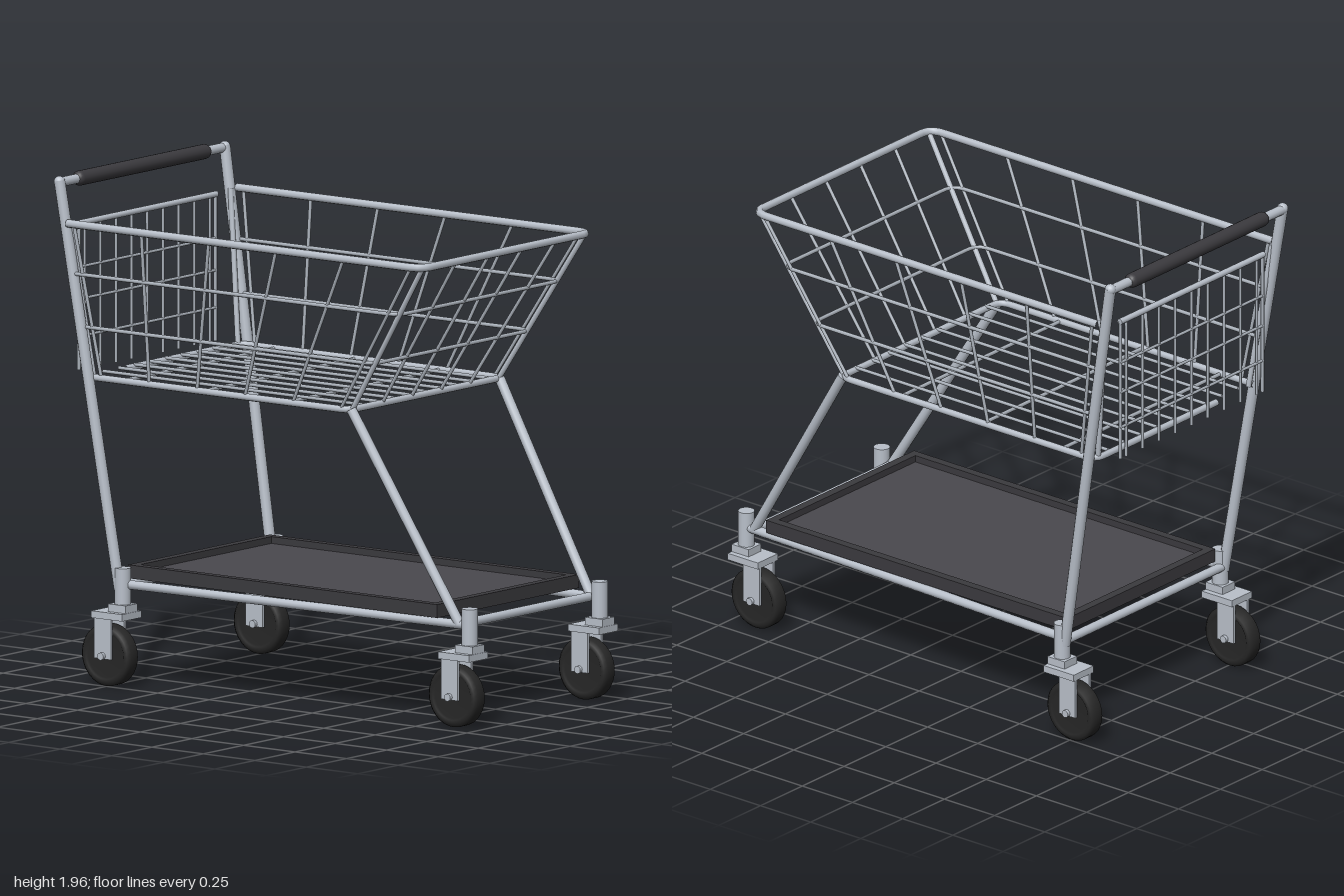
import * as THREE from 'three';

const mat = (name, color) => {
  const m = new THREE.MeshStandardMaterial({ color });
  m.name = name;
  return m;
};
const V = (x, y, z) => new THREE.Vector3(x, y, z);

export function createModel() {
  const steel = mat('steel tube', 0xb9c0ca);
  const wireSteel = mat('wire steel', 0xabb2bb);
  const rubber = mat('wheel rubber', 0x262626);
  const plastic = mat('dark plastic', 0x3b3a3e);
  const panel = mat('tray panel', 0x4a494e);

  const cart = new THREE.Group();
  cart.name = 'shoppingCart';
  const group = (name, parent = cart) => {
    const g = new THREE.Group();
    g.name = name;
    parent.add(g);
    return g;
  };
  const add = (parent, name, geometry, material, x = 0, y = 0, z = 0) => {
    const m = new THREE.Mesh(geometry, material);
    m.name = name;
    m.position.set(x, y, z);
    parent.add(m);
    return m;
  };
  const box = (parent, name, w, h, d, material, x, y, z) =>
    add(parent, name, new THREE.BoxGeometry(w, h, d), material, x, y, z);
  // Straight round bar between two points
  const rod = (parent, name, a, b, r, material = steel, sides = 12) => {
    const dir = b.clone().sub(a);
    const m = add(parent, name, new THREE.CylinderGeometry(r, r, dir.length(), sides), material);
    m.position.copy(a).lerp(b, 0.5);
    m.quaternion.setFromUnitVectors(V(0, 1, 0), dir.normalize());
    return m;
  };
  // Bent bar with rounded corners through the given points
  const bentTube = (parent, name, pts, r, bend, material) => {
    const path = new THREE.CurvePath();
    let from = pts[0];
    for (let i = 1; i < pts.length - 1; i++) {
      const p = pts[i];
      const before = p.clone().add(pts[i - 1].clone().sub(p).setLength(bend));
      const after = p.clone().add(pts[i + 1].clone().sub(p).setLength(bend));
      path.add(new THREE.LineCurve3(from, before));
      path.add(new THREE.QuadraticBezierCurve3(before, p, after));
      from = after;
    }
    path.add(new THREE.LineCurve3(from, pts[pts.length - 1]));
    return add(parent, name, new THREE.TubeGeometry(path, 160, r, 8, false), material);
  };

  // Basket dimensions at a given height
  const Y0 = 1.19, Y1 = 1.785;
  const at = (y, low, high) => low + (high - low) * (y - Y0) / (Y1 - Y0);
  const halfX = y => at(y, 0.478, 0.528);
  const frontZ = y => at(y, 0.41, 0.8);
  const rearZ = y => at(y, -0.855, -0.915);
  const hoop = y => [
    V(halfX(y), y, rearZ(y)), V(halfX(y), y, frontZ(y)),
    V(-halfX(y), y, frontZ(y)), V(-halfX(y), y, rearZ(y)),
  ];

  // Basket frame and hoops
  const basket = group('basket');
  bentTube(basket, 'topRim', hoop(Y1), 0.016, 0.06, steel);
  bentTube(basket, 'bottomFrame', [V(-0.25, Y0, rearZ(Y0)), ...hoop(Y0)], 0.014, 0.05, steel);
  for (const y of [1.385, 1.59]) bentTube(basket, 'hoopWire', hoop(y), 0.008, 0.06, wireSteel);

  // Side wires, fanning forward towards the rim
  for (const s of [-1, 1]) {
    for (let i = 0; i < 6; i++) {
      rod(basket, 'sideWire', V(s * halfX(Y0), Y0, 0.37 - i * 0.232),
        V(s * halfX(Y1), Y1, 0.75 - i * 0.327), 0.007, wireSteel, 8);
    }
    rod(basket, 'frontCornerBar', V(s * 0.455, Y0, 0.41), V(s * 0.505, Y1, 0.79), 0.011, steel, 8);
    rod(basket, 'rearCornerBar', V(s * 0.45, Y0, -0.85), V(s * 0.5, Y1, -0.925), 0.011, steel, 8);
  }
  // Front wires
  for (const i of [-1.5, -0.5, 0.5, 1.5]) {
    rod(basket, 'frontWire', V(i * 0.18, Y0, 0.41), V(i * 0.207, Y1, 0.8), 0.007, wireSteel, 8);
  }
  // Floor wires and rear gate uprights share the same spacing
  const gate = group('rearGate');
  for (let i = -4; i <= 4; i++) {
    const x = i * 0.0975;
    rod(basket, 'floorWire', V(x, Y0 + 0.01, 0.41), V(x, Y0 + 0.01, -0.85), 0.007, wireSteel, 8);
    rod(gate, 'gateUpright', V(x, 1.2, -0.94), V(x, 1.765, -0.94), 0.006, wireSteel, 8);
  }
  for (const z of [0.11, -0.3, -0.69]) {
    rod(basket, 'floorCrossWire', V(-0.475, Y0, z), V(0.475, Y0, z), 0.008, wireSteel, 8);
  }
  for (const y of [1.33, 1.475, 1.6]) {
    rod(gate, 'gateCrossWire', V(-0.43, y, -0.94), V(0.43, y, -0.94), 0.006, wireSteel, 8);
  }
  rod(gate, 'gateTopBar', V(-0.43, 1.77, -0.94), V(0.43, 1.77, -0.94), 0.012);
  for (const s of [-1, 1]) {
    rod(gate, 'gateEdge', V(s * 0.425, 1.2, -0.94), V(s * 0.425, 1.77, -0.94), 0.007, wireSteel, 8);
  }

  // Chassis: posts, legs, rails and crossbars
  const frame = group('frame');
  for (const s of [-1, 1]) {
    rod(frame, 'rearPost', V(s * 0.475, 0.38, -0.705), V(s * 0.515, 1.945, -0.965), 0.022);
    add(frame, 'postCap', new THREE.SphereGeometry(0.022, 16, 10), steel, s * 0.515, 1.94, -0.965);
    rod(frame, 'frontLeg', V(s * 0.41, 0.4, 0.895), V(s * 0.462, Y0, 0.41), 0.02);
    rod(frame, 'sideRail', V(s * 0.41, 0.4, 0.92), V(s * 0.465, 0.4, -0.69), 0.018);
  }
  rod(frame, 'frontCrossbar', V(-0.405, 0.4, 0.895), V(0.405, 0.4, 0.895), 0.018);
  rod(frame, 'rearCrossbar', V(-0.475, 0.395, -0.705), V(0.475, 0.395, -0.705), 0.018);

  // Push handle
  const handle = group('handle');
  rod(handle, 'handleBar', V(-0.52, 1.937, -0.967), V(0.52, 1.937, -0.967), 0.019);
  const grip = add(handle, 'handleGrip', new THREE.CapsuleGeometry(0.029, 0.775, 5, 18), plastic, 0, 1.937, -0.967);
  grip.rotation.z = Math.PI / 2;

  // Lower tray with raised lip
  const tray = group('lowerTray');
  box(tray, 'trayFloor', 0.83, 0.025, 1.46, panel, 0, 0.433, 0.06);
  for (const s of [-1, 1]) {
    box(tray, 'traySideLip', 0.035, 0.052, 1.5, plastic, s * 0.425, 0.446, 0.06);
    box(tray, 'trayEndLip', 0.815, 0.052, 0.035, plastic, 0, 0.446, 0.06 + s * 0.7325);
  }

  // Swivel castors
  const tyre = new THREE.LatheGeometry([
    [0.001, -0.026], [0.085, -0.026], [0.092, -0.032], [0.108, -0.032], [0.12, -0.02],
    [0.12, 0.02], [0.108, 0.032], [0.092, 0.032], [0.085, 0.026], [0.001, 0.026],
  ].map(p => new THREE.Vector2(...p)), 32);
  for (const [x, z, end] of [[0.405, 0.94, 'front'], [0.473, -0.69, 'rear']]) {
    for (const s of [-1, 1]) {
      const castor = group(end + 'Castor');
      castor.position.set(s * x, 0, z);
      rod(castor, 'stem', V(0, 0.32, 0), V(0, 0.465, 0), 0.032, steel, 18);
      box(castor, 'mountBlock', 0.075, 0.03, 0.085, steel, 0, 0.31, 0);
      box(castor, 'forkPlate', 0.12, 0.027, 0.15, steel, 0, 0.281, -0.032);
      add(castor, 'wheel', tyre, rubber, 0, 0.121, -0.063).rotation.z = Math.PI / 2;
      for (const f of [-1, 1]) {
        box(castor, 'forkLeg', 0.012, 0.16, 0.082, steel, f * 0.041, 0.19, -0.063);
      }
      rod(castor, 'axle', V(-0.06, 0.121, -0.063), V(0.06, 0.121, -0.063), 0.015);
    }
  }
  return cart;
}
